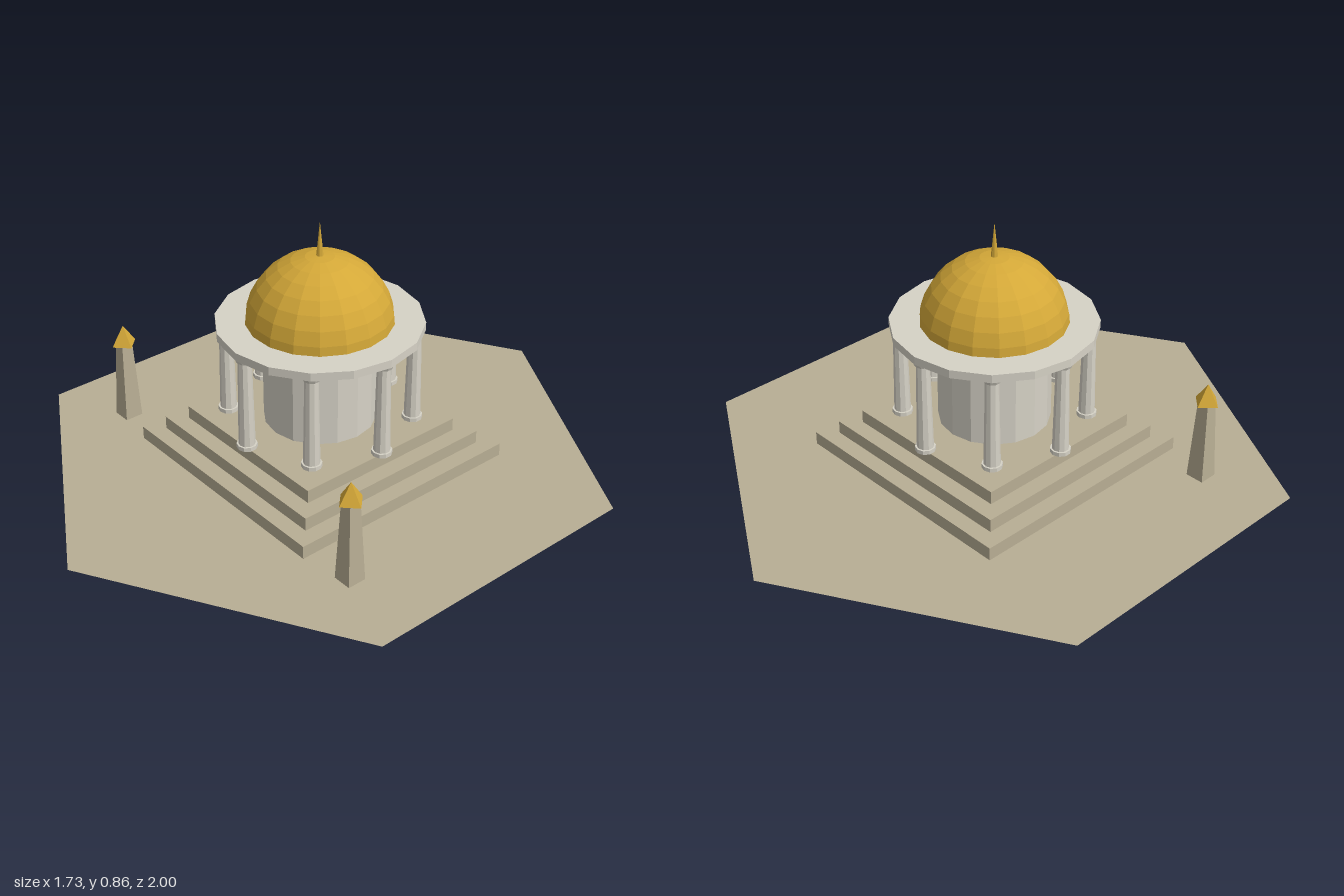
import * as THREE from 'three';

const flat = (name, color, side = THREE.FrontSide) => {
  const m = new THREE.MeshStandardMaterial({ color, side, flatShading: true });
  m.name = name;
  return m;
};

export function createModel() {
  const stone = flat('sandstone', 0xb8ae94, THREE.DoubleSide);
  const marble = flat('marble', 0xd6d2c6);
  const gold = flat('gold', 0xd4a838, THREE.DoubleSide);

  const model = new THREE.Group();
  model.name = 'domedTemple';

  const add = (parent, name, geometry, material, x = 0, y = 0, z = 0) => {
    const mesh = new THREE.Mesh(geometry, material);
    mesh.name = name;
    mesh.position.set(x, y, z);
    parent.add(mesh);
    return mesh;
  };
  // Round part standing on height y
  const drum = (parent, name, rTop, rBottom, y, h, sides, material) =>
    add(parent, name, new THREE.CylinderGeometry(rTop, rBottom, h, sides), material, 0, y + h / 2);

  // Hexagonal ground sheet with corners to the front and back
  const ground = new THREE.CircleGeometry(1, 6).rotateZ(Math.PI / 2).rotateX(-Math.PI / 2);
  add(model, 'ground', ground, stone);

  // Three square steps
  const base = 0.0086, rise = 0.0457;
  [0.857, 0.743, 0.629].forEach((w, i) =>
    add(model, 'step', new THREE.BoxGeometry(w, rise, w), stone, 0, base + rise * (i + 0.5)));
  const floor = base + 3 * rise;

  // Inner chamber, stopping short of the roof ring
  drum(model, 'chamber', 0.189, 0.189, floor, 0.291, 16, marble);

  // Ring of eight columns
  for (let i = 0; i < 8; i++) {
    const a = (i / 8) * Math.PI * 2;
    const column = new THREE.Group();
    column.name = 'column';
    column.position.set(Math.sin(a) * 0.308, 0, Math.cos(a) * 0.308);
    drum(column, 'columnBase', 0.0343, 0.0343, floor, 0.0143, 10, marble);
    drum(column, 'columnShaft', 0.0225, 0.028, floor + 0.0143, 0.309, 10, marble);
    drum(column, 'columnCapital', 0.0343, 0.0286, 0.469, 0.0135, 10, marble);
    model.add(column);
  }

  // Roof ring, dome and spire
  drum(model, 'roofRing', 0.343, 0.343, 0.482, 0.0286, 16, marble);
  const dome = new THREE.SphereGeometry(0.2457, 18, 8, 0, Math.PI * 2, 0, Math.PI / 2);
  add(model, 'dome', dome, gold, 0, 0.4935);
  add(model, 'spire', new THREE.ConeGeometry(0.0125, 0.127, 8), gold, 0, 0.7925);

  // Pair of obelisks with pyramid caps turned by an eighth
  for (const side of [-1, 1]) {
    const obelisk = new THREE.Group();
    obelisk.name = side > 0 ? 'leftObelisk' : 'rightObelisk';
    obelisk.position.set(side * 0.589, 0, 0.38);
    drum(obelisk, 'obeliskShaft', 0.0286, 0.0457, base, 0.2857, 4, stone).rotation.y = Math.PI / 4;
    add(obelisk, 'obeliskCap', new THREE.ConeGeometry(0.0457, 0.0686, 4), gold, 0, 0.3286);
    model.add(obelisk);
  }

  return model;
}
